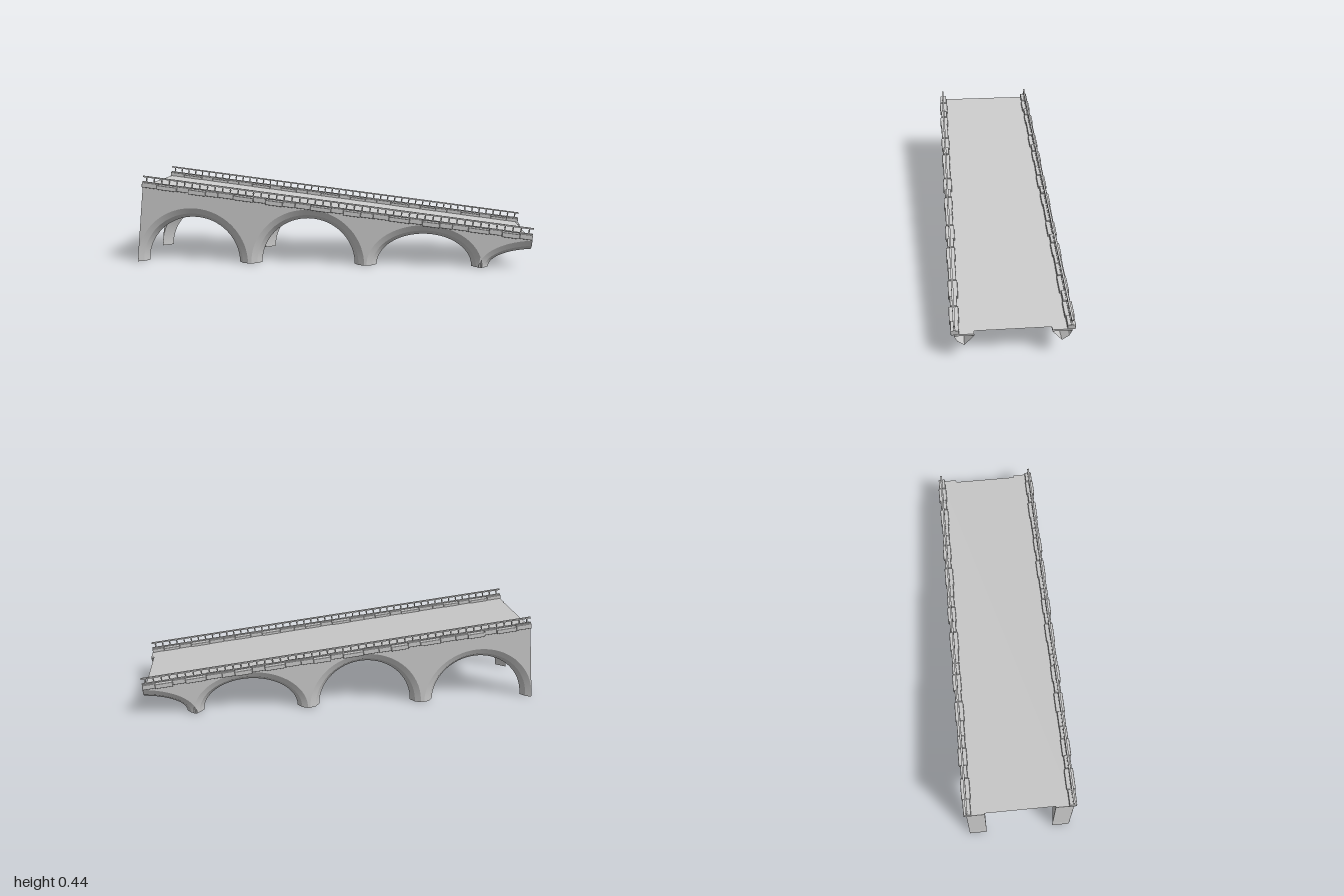
import * as THREE from 'three';
import { RoundedBoxGeometry } from 'three/addons/geometries/RoundedBoxGeometry.js';
import { toCreasedNormals } from 'three/addons/utils/BufferGeometryUtils.js';

const stone = new THREE.MeshStandardMaterial({ color: 0xcccccc });
const thin = new THREE.MeshStandardMaterial({ color: 0xcccccc, side: THREE.DoubleSide });

const SLOPE = 0.1235;
const X_END = 0.99;
const RX = 0.287;
const deckY = (x) => 0.392 - SLOPE * (x + 0.955);

// Arches: centre x and outer height; the last is cut off at the low end
const ARCHES = [
  { x: -0.713, h: 0.28 },
  { x: -0.122, h: 0.28 },
  { x: 0.463, h: 0.21 },
  { x: 1.02, h: 0.142 },
];
// Arch rib section: [depth inward from the outer curve, z]
const RIB = [[0, 0.255], [0.029, 0.241], [0.05, 0.211], [0, 0.168]];
const STEPS = 36;

function archAngles({ x }) {
  const end = x + RX > X_END ? Math.acos((X_END - x) / RX) : 0;
  return Array.from({ length: STEPS + 1 }, (_, i) => Math.PI + (end - Math.PI) * (i / STEPS));
}

function add(parent, name, geometry, material = stone) {
  const mesh = new THREE.Mesh(geometry, material);
  mesh.name = name;
  parent.add(mesh);
  return mesh;
}

// Tapered rib swept along the arch curve, open at its feet
function archRib(arch) {
  const pos = [], index = [], n = RIB.length;
  for (const a of archAngles(arch)) {
    for (const [d, z] of RIB) {
      const x = arch.x + (RX - d) * Math.cos(a);
      pos.push(Math.min(x, X_END), (arch.h - d) * Math.sin(a), z);
    }
  }
  for (let i = 0; i < STEPS; i++) {
    for (let j = 0; j < n - 1; j++) {
      const a = i * n + j, b = a + n;
      index.push(a, a + 1, b, b, a + 1, b + 1);
    }
  }
  const g = new THREE.BufferGeometry();
  g.setAttribute('position', new THREE.Float32BufferAttribute(pos, 3));
  g.setIndex(index);
  return toCreasedNormals(g, 0.35);
}

// Side wall between the arches and the deck, leaning at the high end
function sideWall() {
  const s = new THREE.Shape();
  s.moveTo(-0.96, deckY(-0.96) - 0.002);
  s.lineTo(-1, 0);
  for (const arch of ARCHES) {
    for (const a of archAngles(arch)) {
      s.lineTo(arch.x + RX * Math.cos(a), arch.h * Math.sin(a));
    }
  }
  s.lineTo(X_END, deckY(X_END) - 0.002);
  s.closePath();
  const g = new THREE.ExtrudeGeometry(s, { depth: 0.087, bevelEnabled: false });
  g.translate(0, 0, 0.168);
  return toCreasedNormals(g, 0.35);
}

// Sloping parapet: five equal runs of uneven kerb stones with a railing on top
function parapet() {
  const group = new THREE.Group();
  group.name = 'parapet';
  const length = 1.965, runs = 5, run = length / runs;

  // Stones in one run: [length share, height, inner z, outer z, y shift]
  const stones = [
    [0.2, 0.026, 0.232, 0.268, 0],
    [0.26, 0.022, 0.228, 0.272, -0.003],
    [0.16, 0.026, 0.234, 0.266, 0.001],
    [0.22, 0.024, 0.23, 0.273, -0.004],
    [0.16, 0.026, 0.233, 0.269, -0.001],
  ];
  for (let r = 0; r < runs; r++) {
    let x = -length / 2 + r * run;
    for (const [share, h, z0, z1, dy] of stones) {
      const w = share * run;
      const block = add(group, 'kerbStone', new RoundedBoxGeometry(w, h, z1 - z0, 1, 0.003));
      block.position.set(x + w / 2, 0.006 + dy, (z0 + z1) / 2);
      x += w;
    }
  }

  // Handrail, lower rail and balusters
  const rail = add(group, 'handrail', new THREE.BoxGeometry(length, 0.007, 0.009));
  rail.position.set(0, 0.0475, 0.2525);
  const foot = add(group, 'lowerRail', new THREE.BoxGeometry(length, 0.005, 0.009));
  foot.position.set(0, 0.02, 0.2525);
  const profile = [[0.0045, 0], [0.0045, 0.004], [0.0025, 0.008], [0.0045, 0.015], [0.0025, 0.021], [0.0045, 0.024]];
  const baluster = new THREE.LatheGeometry(profile.map(([r, y]) => new THREE.Vector2(r, y)), 8);
  const count = 50;
  for (let i = 0; i < count; i++) {
    const b = add(group, 'baluster', baluster);
    b.position.set(-length / 2 + (i + 0.5) * (length / count), 0.021, 0.2525);
  }

  group.rotation.z = -Math.atan(SLOPE);
  group.position.set(0.013, deckY(0.013), 0);
  return group;
}

function side(name) {
  const group = new THREE.Group();
  group.name = name;
  add(group, 'sideWall', sideWall(), thin);
  for (const arch of ARCHES) add(group, 'archRib', archRib(arch), thin);
  group.add(parapet());
  return group;
}

export function createModel() {
  const model = new THREE.Group();
  model.name = 'slopingBridge';

  // Thin road deck
  const x0 = -0.955, x1 = 0.975;
  const deck = add(model, 'deck', new THREE.PlaneGeometry(Math.hypot(x1 - x0, SLOPE * (x1 - x0)), 0.5), thin);
  deck.geometry.rotateX(-Math.PI / 2);
  deck.rotation.z = -Math.atan(SLOPE);
  deck.position.set((x0 + x1) / 2, deckY((x0 + x1) / 2), 0);

  // Matching front and back sides
  model.add(side('frontSide'));
  const back = side('backSide');
  back.scale.z = -1;
  model.add(back);
  return model;
}
